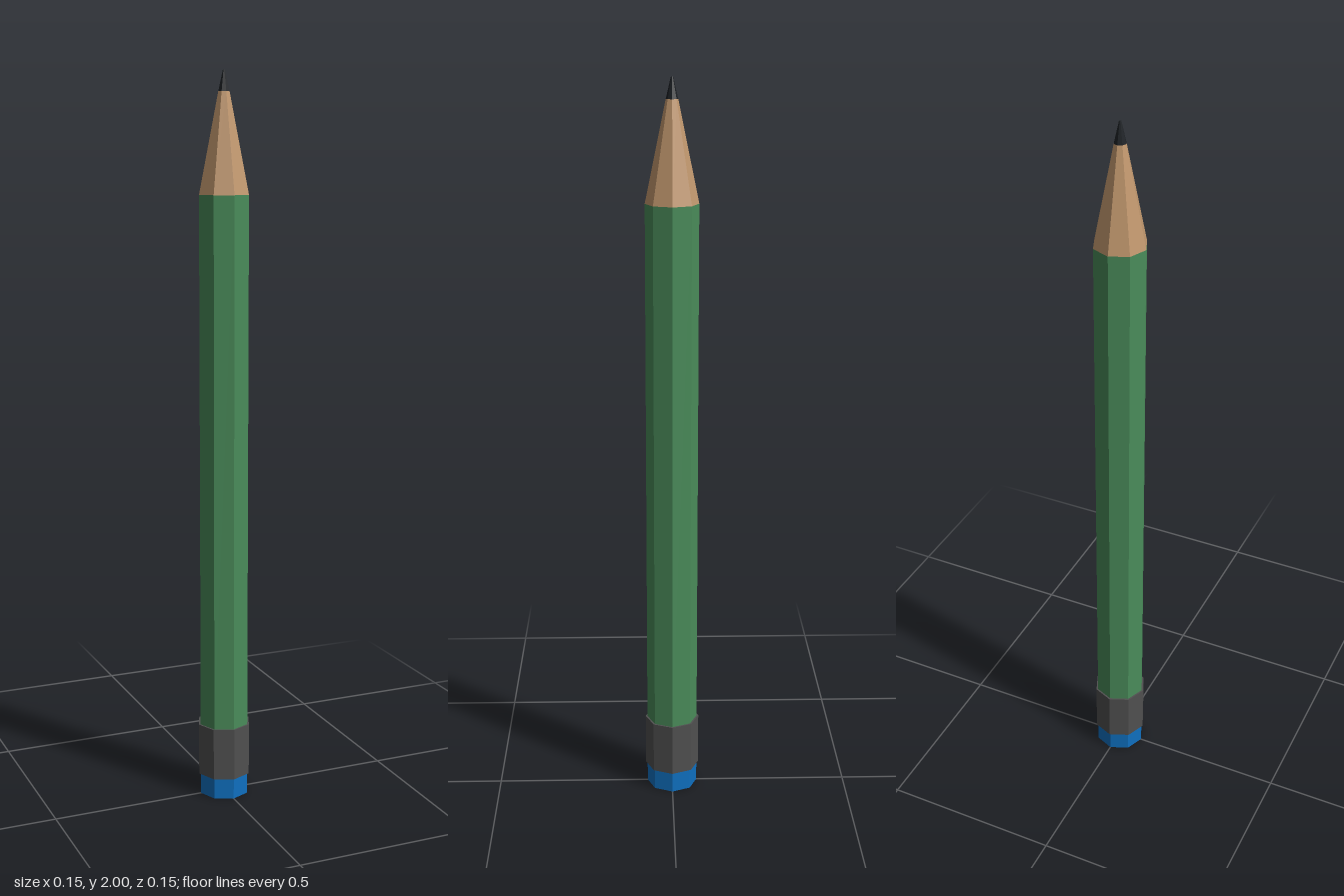
import * as THREE from 'three';

const SIDES = 8;

// One faceted section of the pencil, from y0 (radius r0) up to y1 (radius r1)
function section(name, y0, y1, r0, r1, color) {
  const geometry = new THREE.CylinderGeometry(r1, r0, y1 - y0, SIDES);
  const material = new THREE.MeshStandardMaterial({ color, flatShading: true });
  const mesh = new THREE.Mesh(geometry, material);
  mesh.name = name;
  mesh.position.y = (y0 + y1) / 2;
  return mesh;
}

export function createModel() {
  const group = new THREE.Group();
  group.name = 'pencil';
  group.add(
    section('eraser', 0, 0.06, 0.071, 0.071, 0x0f70c0),
    // Metal band, slightly wider than the barrel
    section('ferrule', 0.06, 0.207, 0.076, 0.076, 0x505050),
    section('barrel', 0.207, 1.68, 0.071, 0.071, 0x4a8c5a),
    // Sharpened end
    section('woodCone', 1.68, 1.945, 0.071, 0.016, 0xc2986e),
    section('leadTip', 1.945, 2, 0.016, 0.003, 0x1c2024),
  );
  return group;
}
